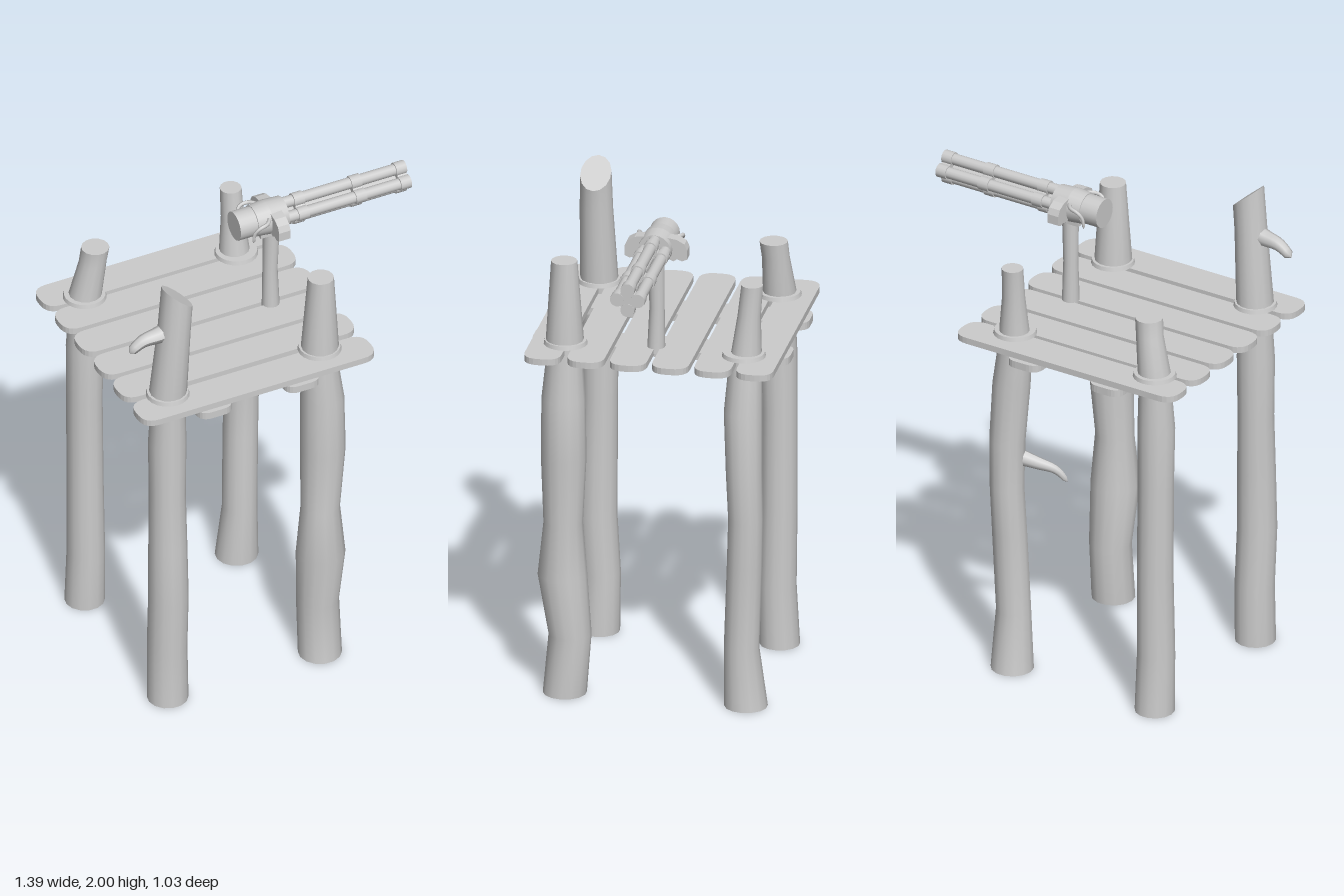
import * as THREE from 'three';

const mat = new THREE.MeshStandardMaterial({ color: 0xcccccc });
const matOpen = new THREE.MeshStandardMaterial({ color: 0xcccccc, side: THREE.DoubleSide });

function add(parent, name, geometry, x = 0, y = 0, z = 0, material = mat) {
  const mesh = new THREE.Mesh(geometry, material);
  mesh.name = name;
  mesh.position.set(x, y, z);
  parent.add(mesh);
  return mesh;
}

// Capped trunk from sections [y, cx, cz, r]; the last ring may slope along x
function trunk(sections, topSlope = 0, n = 14) {
  const pos = [], index = [];
  const ring = ([y, cx, cz, r], slope) => {
    for (let i = 0; i < n; i++) {
      const a = (i / n) * Math.PI * 2;
      pos.push(cx + r * Math.cos(a), y + slope * r * Math.cos(a), cz - r * Math.sin(a));
    }
  };
  const last = sections.length - 1;
  sections.forEach((s, k) => ring(s, k === last ? topSlope : 0));
  for (let k = 0; k < last; k++) {
    for (let i = 0; i < n; i++) {
      const a = k * n + i, b = k * n + ((i + 1) % n);
      index.push(a, b, b + n, a, b + n, a + n);
    }
  }
  // separate cap vertices keep the rims sharp
  for (const top of [false, true]) {
    const s = sections[top ? last : 0], start = pos.length / 3;
    ring(s, top ? topSlope : 0);
    pos.push(s[1], s[0], s[2]);
    for (let i = 0; i < n; i++) {
      const a = start + i, b = start + ((i + 1) % n);
      index.push(start + n, top ? a : b, top ? b : a);
    }
  }
  const g = new THREE.BufferGeometry();
  g.setAttribute('position', new THREE.Float32BufferAttribute(pos, 3));
  g.setIndex(index);
  g.computeVertexNormals();
  return g;
}

// Tube that tapers from r0 to r1 and closes at its tip
function branch(points, r0, r1) {
  const curve = new THREE.CatmullRomCurve3(points.map(p => new THREE.Vector3(...p)));
  const steps = 12, sides = 8;
  const g = new THREE.TubeGeometry(curve, steps, 1, sides);
  const p = g.attributes.position, v = new THREE.Vector3();
  for (let i = 0; i < p.count; i++) {
    const k = Math.floor(i / (sides + 1));
    const c = curve.getPointAt(k / steps);
    // the last two rings form the blunt tip
    const r = k === steps ? 0 : r0 + (r1 - r0) * (k / steps);
    v.fromBufferAttribute(p, i).sub(c).multiplyScalar(r).add(c);
    p.setXYZ(i, v.x, v.y, v.z);
  }
  g.computeVertexNormals();
  return g;
}

// Flat board with rounded corners, lying in xz with its underside at y = 0
function board(w, d, h, r) {
  const x = w / 2, z = d / 2, s = new THREE.Shape();
  s.moveTo(-x + r, -z);
  s.lineTo(x - r, -z).quadraticCurveTo(x, -z, x, -z + r);
  s.lineTo(x, z - r).quadraticCurveTo(x, z, x - r, z);
  s.lineTo(-x + r, z).quadraticCurveTo(-x, z, -x, z - r);
  s.lineTo(-x, -z + r).quadraticCurveTo(-x, -z, -x + r, -z);
  return new THREE.ExtrudeGeometry(s, { depth: h, bevelEnabled: false, curveSegments: 6 }).rotateX(-Math.PI / 2);
}

// Cylinder along x from x0 to x1
function rod(x0, x1, r, sides = 16, r1 = r) {
  return new THREE.CylinderGeometry(r1, r, x1 - x0, sides).rotateZ(-Math.PI / 2).translate((x0 + x1) / 2, 0, 0);
}

function buildPosts() {
  const posts = new THREE.Group();
  posts.name = 'posts';
  add(posts, 'frontLeftPost', trunk([
    [0, -0.525, 0.36, 0.082], [0.25, -0.525, 0.355, 0.08], [0.5, -0.527, 0.37, 0.08], [0.75, -0.527, 0.365, 0.077],
    [1, -0.527, 0.36, 0.073], [1.25, -0.527, 0.36, 0.076], [1.44, -0.523, 0.36, 0.068], [1.5, -0.523, 0.36, 0.075],
    [1.8, -0.5, 0.367, 0.066], [1.95, -0.488, 0.367, 0.062]], -0.85));
  add(posts, 'frontRightPost', trunk([
    [0, 0.145, 0.363, 0.087], [0.25, 0.145, 0.342, 0.085], [0.5, 0.143, 0.373, 0.098], [0.72, 0.143, 0.37, 0.078],
    [1, 0.157, 0.365, 0.09], [1.25, 0.153, 0.367, 0.087], [1.44, 0.143, 0.365, 0.07], [1.5, 0.145, 0.363, 0.075],
    [1.83, 0.148, 0.365, 0.052]]));
  add(posts, 'backRightPost', trunk([
    [0, 0.145, -0.365, 0.086], [0.25, 0.15, -0.348, 0.07], [0.6, 0.16, -0.362, 0.07], [0.8, 0.168, -0.368, 0.069],
    [1, 0.17, -0.362, 0.072], [1.25, 0.155, -0.355, 0.076], [1.44, 0.135, -0.36, 0.066], [1.5, 0.135, -0.365, 0.06],
    [1.65, 0.132, -0.375, 0.046], [1.78, 0.13, -0.387, 0.043]]));
  add(posts, 'backLeftPost', trunk([
    [0, -0.525, -0.365, 0.08], [0.25, -0.525, -0.355, 0.076], [0.6, -0.525, -0.362, 0.073], [1, -0.528, -0.362, 0.072],
    [1.25, -0.528, -0.358, 0.075], [1.44, -0.523, -0.36, 0.065], [1.5, -0.522, -0.365, 0.066],
    [1.65, -0.495, -0.355, 0.055], [1.72, -0.487, -0.348, 0.056]]));
  add(posts, 'upperBranch', branch([[-0.5, 1.8, 0.367], [-0.57, 1.785, 0.365], [-0.635, 1.775, 0.362], [-0.695, 1.735, 0.36]], 0.042, 0.018));
  add(posts, 'lowerBranch', branch([[0.13, 0.925, -0.34], [0.06, 0.905, -0.315], [-0.01, 0.88, -0.285], [-0.05, 0.83, -0.265]], 0.034, 0.01));
  // collars where the posts pass through the deck
  for (const [x, z] of [[-0.525, 0.36], [0.145, 0.36], [0.138, -0.355], [-0.525, -0.365]]) {
    add(posts, 'postCollar', new THREE.CylinderGeometry(0.083, 0.087, 0.016, 20), x, 1.488, z);
  }
  return posts;
}

function buildDeck() {
  const deck = new THREE.Group();
  deck.name = 'deck';
  for (const z of [-0.428, -0.26, -0.09, 0.08, 0.25, 0.424]) {
    add(deck, 'plank', board(1.03, 0.148, 0.026, 0.065), -0.178, 1.454, z);
  }
  for (const x of [-0.38, 0.005]) {
    add(deck, 'crossBeam', board(0.15, 1.035, 0.03, 0.05), x, 1.422, -0.003);
  }
  return deck;
}

function buildGun() {
  const gun = new THREE.Group();
  gun.name = 'rotaryGun';
  gun.position.y = 1.905;
  add(gun, 'rearHousing', rod(-0.05, 0.03, 0.06, 20));
  add(gun, 'body', rod(0.028, 0.09, 0.064, 20, 0.07));
  add(gun, 'bodyFront', rod(0.09, 0.163, 0.07, 20, 0.066));
  add(gun, 'saddle', new THREE.BoxGeometry(0.1, 0.035, 0.07), 0.1, -0.056, 0);
  // four barrels held by three clamps
  for (let i = 0; i < 4; i++) {
    const a = (i * Math.PI) / 2, y = 0.042 * Math.cos(a), z = 0.042 * Math.sin(a);
    add(gun, 'barrel', rod(0.15, 0.698, 0.023, 14), 0, y, z);
    for (const x of [0.205, 0.458, 0.655]) {
      add(gun, 'clampLobe', rod(x, x + 0.045, 0.028, 14), 0, y, z);
    }
  }
  add(gun, 'spindle', rod(0.15, 0.66, 0.014, 10));
  for (const x of [0.205, 0.458, 0.655]) {
    const core = new THREE.BoxGeometry(0.04, 0.094, 0.094).rotateX(Math.PI / 4);
    add(gun, 'clampCore', core, x + 0.0225, 0, 0).scale.set(1, 0.8, 0.8);
  }
  // side brackets and carrying hooks
  for (const s of [-1, 1]) {
    const shape = new THREE.Shape([[0.03, 0.05], [0.085, 0.042], [0.115, 0.025], [0.126, 0], [0.126, -0.038],
      [0.105, -0.047], [0.085, -0.04], [0.07, -0.05], [0.03, -0.03]].map(([a, b]) => new THREE.Vector2(a * s, b)));
    const g = new THREE.ExtrudeGeometry(shape, { depth: 0.05, bevelEnabled: false });
    add(gun, 'sideBracket', g.rotateY(Math.PI / 2), 0.085, 0, 0);
    add(gun, 'hook', branch([[0.075, 0.03, 0.06 * s], [0.055, 0.028, 0.083 * s], [0.02, 0.02, 0.088 * s],
      [0.002, -0.005, 0.08 * s], [-0.004, -0.048, 0.078 * s]], 0.009, 0.006), 0, 0, 0, matOpen);
  }
  return gun;
}

export function createModel() {
  const model = new THREE.Group();
  model.name = 'watchtower';
  model.add(buildPosts(), buildDeck(), buildGun());
  // pole carrying the gun
  add(model, 'gunPole', trunk([[1.46, 0.11, 0.003, 0.036], [1.65, 0.108, 0, 0.03], [1.86, 0.112, 0.003, 0.034]]));
  return model;
}
